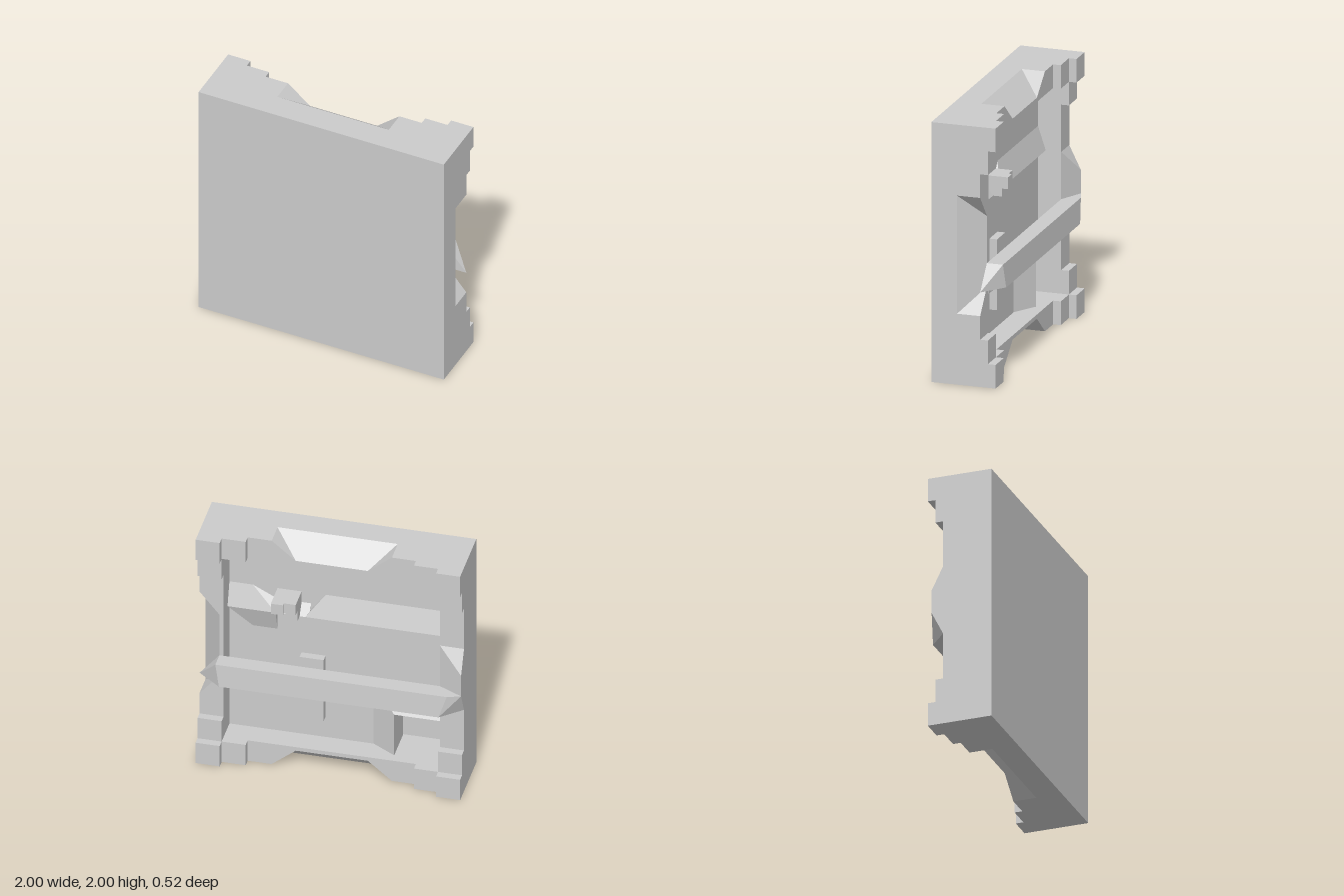
import * as THREE from 'three';
import { ConvexGeometry } from 'three/addons/geometries/ConvexGeometry.js';

const C = 2 / 11;              // grid cell
const FRONT = 0.26, FLOOR = 0.06, RIM = -0.12, IN = 1 - C;
const A = 0.4545, B = 0.2727;  // half lengths of the notch, outer and inner

export function createModel() {
  const material = new THREE.MeshStandardMaterial({ color: 0xcccccc, flatShading: true });
  const model = new THREE.Group();
  model.name = 'wallTile';

  const add = (name, geometry, parent = model) => {
    const mesh = new THREE.Mesh(geometry, material);
    mesh.name = name;
    parent.add(mesh);
    return mesh;
  };
  // Box from ranges on each axis
  const box = (name, x0, x1, y0, y1, z0, z1, parent) => {
    const g = new THREE.BoxGeometry(x1 - x0, y1 - y0, Math.abs(z1 - z0));
    g.translate((x0 + x1) / 2, (y0 + y1) / 2, (z0 + z1) / 2);
    return add(name, g, parent);
  };
  // Faceted solid through a few corner points
  const solid = (name, points, parent) =>
    add(name, new ConvexGeometry(points.map(p => new THREE.Vector3(...p))), parent);

  // Front sheet and floor plate with a rectangular pit
  const pitX0 = -IN, pitX1 = -A, pitY0 = C, pitY1 = 3 * C, pitZ = 0.23;
  box('frontSheet', -1, 1, 0, 2, pitZ, FRONT);
  const plate = new THREE.Shape([[-1, 0], [1, 0], [1, 2], [-1, 2]].map(p => new THREE.Vector2(...p)));
  plate.holes.push(new THREE.Path([[pitX0, pitY0], [pitX0, pitY1], [pitX1, pitY1], [pitX1, pitY0]]
    .map(p => new THREE.Vector2(...p))));
  const plateGeometry = new THREE.ExtrudeGeometry(plate, { depth: pitZ - FLOOR, bevelEnabled: false });
  plateGeometry.translate(0, 0, FLOOR);
  add('floorPlate', plateGeometry);

  // Rim side with a bevelled notch, built at the top and turned about the centre
  const notchedRim = (name, angle, end) => {
    const side = new THREE.Group();
    side.name = name;
    side.position.y = 1;
    side.rotation.z = angle;
    model.add(side);
    const v = 0.85;
    solid('notchSlope', [-1, 1].flatMap(s => [
      [s * A, 1, FLOOR], [s * A, IN, FLOOR], [s * B, v, RIM], [s * B, IN, RIM]]), side);
    for (const s of [-1, 1]) {
      box('rimBar', s > 0 ? A : -end, s > 0 ? end : -A, IN, 1, RIM, FLOOR, side);
      solid('notchCheek', [[s * A, 1, FLOOR], [s * A, 1, RIM], [s * B, v, RIM],
        [s * B, IN, RIM], [s * A, IN, RIM], [s * A, IN, FLOOR]], side);
    }
  };
  notchedRim('topRim', 0, 1);
  notchedRim('bottomRim', Math.PI, 1);
  notchedRim('leftRim', -Math.PI / 2, IN);

  // Right rim swells outward instead of being notched
  box('rightRim', -1, -IN, C, 2 - C, RIM, FLOOR);
  solid('rightRimSwell', [
    [-IN, 7 * C, RIM], [-1, 7 * C, RIM], [-1, 6 * C, -0.21], [-1, 5 * C, -0.21],
    [-IN, 5 * C, RIM], [-1, 4 * C, RIM], [-IN, 4 * C, RIM]]);

  // Stepped blocks in the four corners
  const span = (s, a, b) => (s > 0 ? [a, b] : [-b, -a]);
  for (const sx of [-1, 1]) for (const sy of [-1, 1]) {
    const corner = new THREE.Group();
    corner.name = 'cornerSteps';
    corner.position.y = 1;
    model.add(corner);
    box('cornerBlock', ...span(sx, IN, 1), ...span(sy, IN, 1), -0.24, RIM, corner);
    box('stepAcross', ...span(sx, IN - C, IN), ...span(sy, IN, 1), -0.18, RIM, corner);
    box('stepAlong', ...span(sx, IN, 1), ...span(sy, IN - C, IN), -0.18, RIM, corner);
  }

  // Crossbar with tapered ends, open behind
  const y0 = 4 * C, y1 = 5 * C;
  solid('crossbar', [
    [1, y0, RIM], [0.85, y1, RIM], [0.85, y1, -0.245], [0.82, y0, -0.26],
    [-1, y0, RIM], [-1, y1, RIM], [-1, y1, -0.21], [-0.9, y1, -0.245], [-0.84, y0, -0.26]]);

  // Upper ledge: sloping top, flat underside, with a ramp at the left end
  const top = 8 * C, edge = 7 * C, lip = 0;
  solid('ledge', [
    [0.09, top, FLOOR], [-IN, top, FLOOR], [-IN, edge, FLOOR], [-IN, edge, lip],
    [0.23, edge, lip], [0.23, edge, FLOOR]]);
  solid('ledgeMiddle', [
    [A, 1.36, FLOOR], [0.2, 1.36, FLOOR], [A, edge, FLOOR], [0.2, edge, FLOOR],
    [A, edge, lip], [0.2, edge, lip]]);
  solid('ledgeRamp', [
    [IN, top, FLOOR], [0.64, top, FLOOR], [A, 1.36, FLOOR], [A, edge, lip], [IN, edge, lip],
    [IN, edge, FLOOR], [0.64, 6 * C, FLOOR], [A, 6 * C, FLOOR]]);

  // Small stepped knob on the ledge
  box('knobCore', B, A, 1.364, top, RIM, FLOOR);
  box('knobTip', 1.5 * C + 0.0909, A, 1.364, top, -0.147, RIM);
  box('knobFoot', B, 0.364, edge, 1.364, -0.07, FLOOR);

  // Raised plus on the floor
  box('plusUpright', C / 2, 1.5 * C, 2 * C, 5 * C, 0, FLOOR);
  for (const x of [-C / 2, 1.5 * C]) box('plusArm', x, x + C, 3 * C, 4 * C, 0, FLOOR);

  // Mitred lip around the pit
  const lipZ = -0.05;
  solid('pitLipTop', [
    [-B, 4 * C, FLOOR], [-IN, 4 * C, FLOOR], [pitX1, pitY1, FLOOR], [-IN, pitY1, FLOOR],
    [pitX1, pitY1, lipZ], [-IN, pitY1, lipZ]]);
  solid('pitLipSide', [
    [-B, 4 * C, FLOOR], [-B, pitY0, FLOOR], [pitX1, pitY1, FLOOR], [pitX1, pitY0, FLOOR],
    [pitX1, pitY1, lipZ], [pitX1, pitY0, lipZ]]);

  return model;
}
